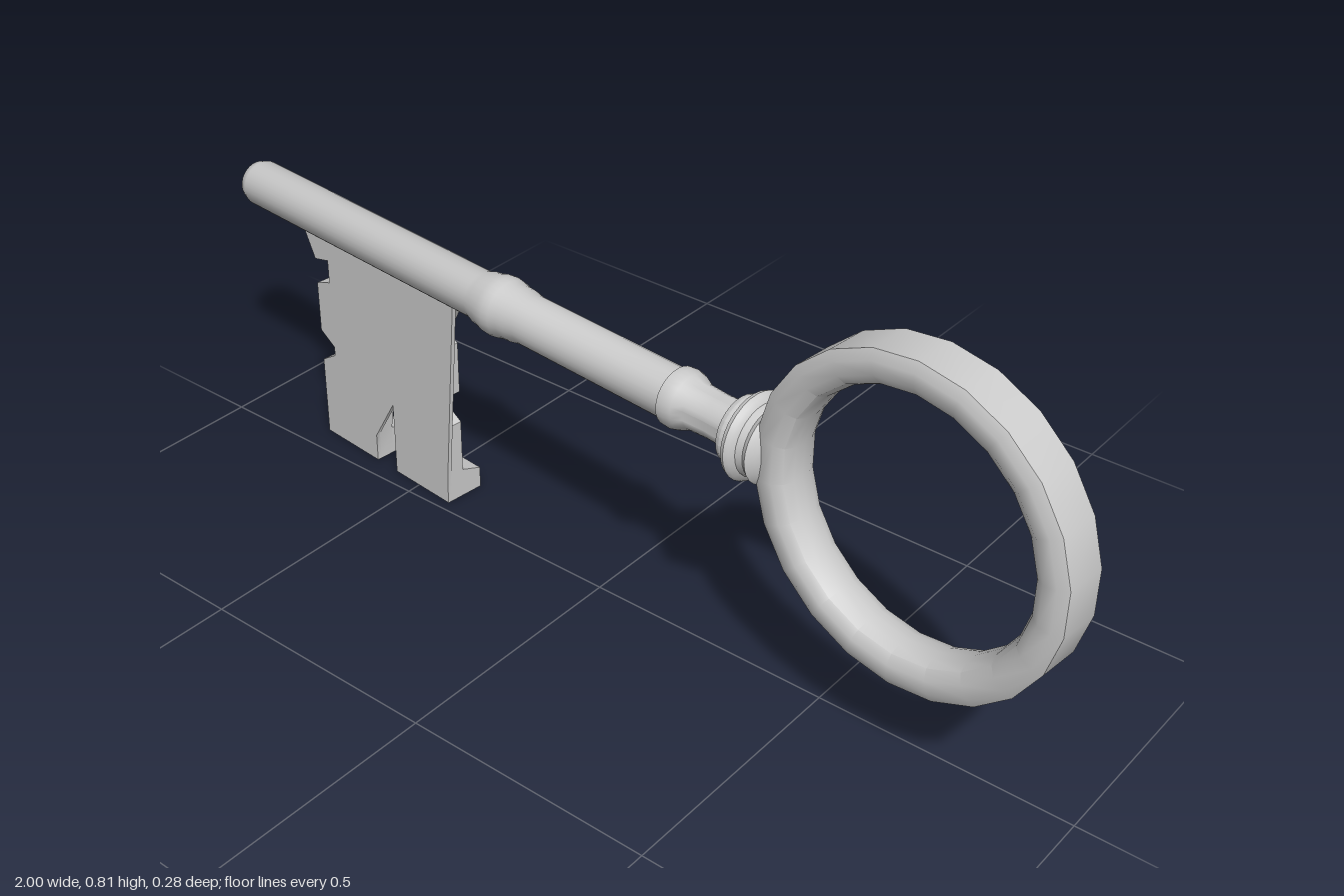
import * as THREE from 'three';
import { toCreasedNormals } from 'three/addons/utils/BufferGeometryUtils.js';

const V = (pts) => pts.map(([x, y]) => new THREE.Vector2(x, y));

export function createModel() {
  const key = new THREE.Group();
  key.name = 'key';
  const material = new THREE.MeshStandardMaterial({ color: 0xcccccc });
  const axisY = 0.507;

  const add = (name, geometry, y = 0, x = 0) => {
    const mesh = new THREE.Mesh(toCreasedNormals(geometry, 0.6), material);
    mesh.name = name;
    mesh.position.set(x, y, 0);
    key.add(mesh);
  };
  const plate = (points, z0, z1) =>
    new THREE.ExtrudeGeometry(new THREE.Shape(V(points)), { depth: z1 - z0, bevelEnabled: false }).translate(0, 0, z0);

  // Turned shaft with collars, neck and knob: [radius, position along the axis]
  const shaft = [
    [0, -1.003], [0.03, -1.002], [0.041, -0.993], [0.047, -0.975],
    [0.047, -0.31], [0.052, -0.295], [0.054, -0.28], [0.058, -0.265], [0.059, -0.25], [0.057, -0.235],
    [0.053, -0.22], [0.052, -0.2], [0.048, -0.18], [0.048, 0.18],
    [0.055, 0.185], [0.056, 0.2], [0.052, 0.215], [0.043, 0.235], [0.041, 0.28], [0.043, 0.325],
    [0.062, 0.328], [0.066, 0.338], [0.064, 0.348], [0.079, 0.354], [0.082, 0.362], [0.078, 0.37],
    [0.068, 0.376], [0.066, 0.39], [0.072, 0.4], [0.06, 0.412], [0.03, 0.425], [0, 0.43],
  ];
  add('shaft', new THREE.LatheGeometry(V(shaft), 28).rotateZ(-Math.PI / 2), axisY);

  // Ring handle with chamfered rims and a rounded inside
  const ring = [
    [0.304, -0.04], [0.304, 0.04], [0.286, 0.049], [0.262, 0.049], [0.245, 0.038], [0.237, 0.02],
    [0.235, 0], [0.237, -0.02], [0.245, -0.038], [0.262, -0.049], [0.286, -0.049], [0.304, -0.04],
  ];
  add('ringHandle', new THREE.LatheGeometry(V(ring), 22).rotateX(Math.PI / 2), axisY, 0.698);

  // Bit: notched left edge is shared by the rear plate and the thin front plate
  const notches = [
    [-0.82, 0.47], [-0.79, 0.41], [-0.75, 0.42], [-0.75, 0.37], [-0.79, 0.355],
    [-0.79, 0.245], [-0.75, 0.22], [-0.75, 0.2], [-0.79, 0.175], [-0.79, 0],
  ];
  const mirrored = notches.map(([x, y]) => [-1.2 - x, y]).reverse();
  add('bitRear', plate([...notches, [-0.63, 0], [-0.63, 0.06], [-0.573, 0.38], [-0.57, 0], ...mirrored], -0.02, 0.012));
  add('bitFront', plate([
    ...notches, [-0.63, 0], [-0.63, 0.06], [-0.57, 0.16], [-0.57, 0], [-0.41, 0], [-0.41, 0.05], [-0.372, 0.47],
  ], 0.012, 0.021));

  // Stepped feet on the back of the two prongs
  for (const [name, x] of [['rightFoot', -0.79], ['leftFoot', -0.57]]) {
    const foot = plate([[0.018, 0], [0.065, 0], [0.065, 0.045], [0.018, 0.062]], 0, 0.16);
    add(name, foot.rotateY(Math.PI / 2), 0, x);
  }

  // The whole key is turned slightly about the vertical
  key.rotation.y = -0.096;
  key.position.z = -0.003;
  const model = new THREE.Group();
  model.add(key);
  return model;
}
